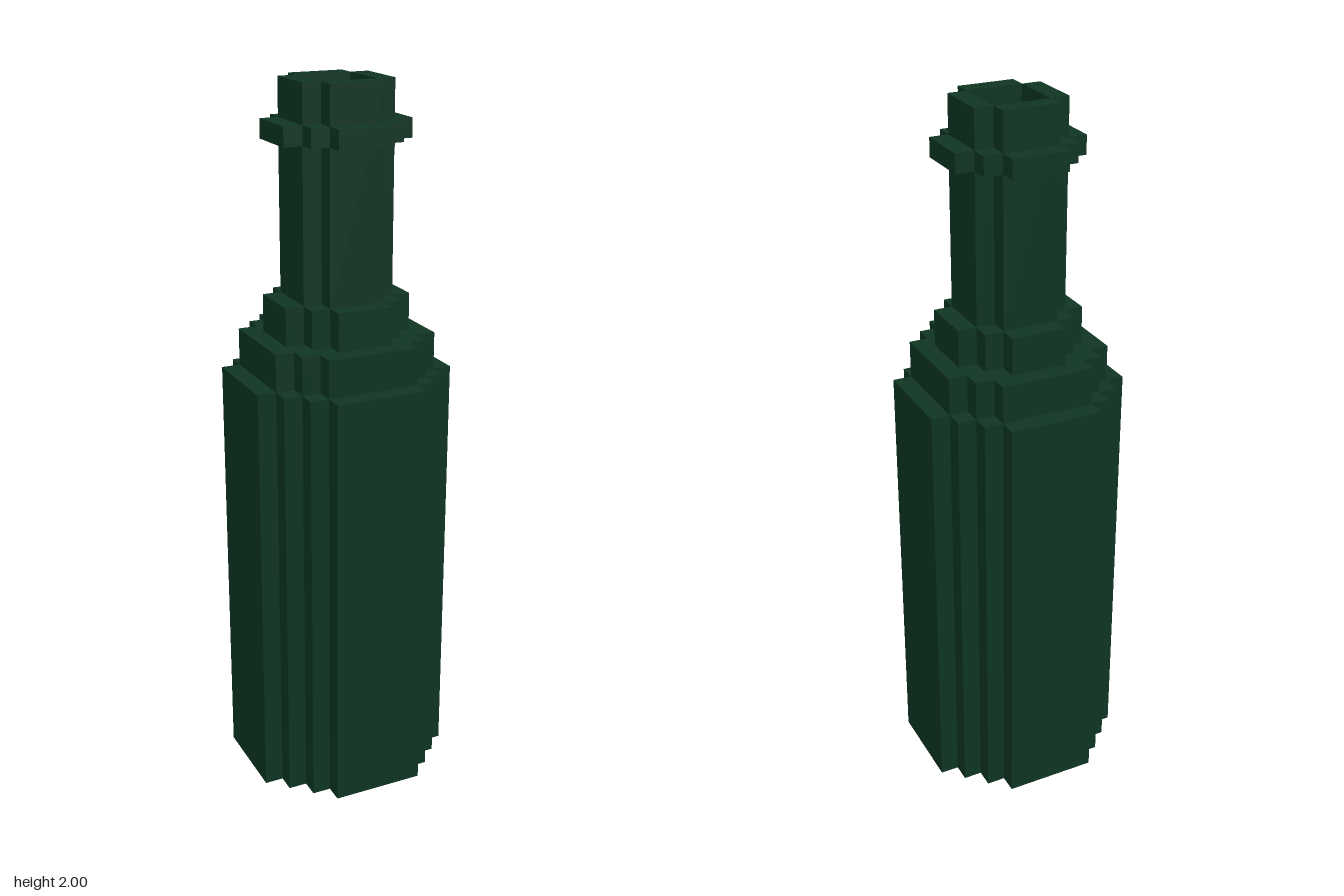
import * as THREE from 'three';

const U = 2 / 38; // one block of the stepped grid

// Stepped round outline: half width r, flat side half length f (in blocks)
function outline(r, f) {
  const quarter = [];
  for (let x = r, y = f; ; x--, y++) {
    quarter.push([x, y]);
    if (x <= f) break;
    quarter.push([x - 1, y]);
  }
  const points = [];
  for (let k = 0; k < 4; k++) {
    for (const [x, y] of quarter) {
      const p = new THREE.Vector2(x * U, y * U);
      points.push(p.rotateAround(new THREE.Vector2(), k * Math.PI / 2));
    }
  }
  return points;
}

export function createModel() {
  const group = new THREE.Group();
  const glass = new THREE.MeshStandardMaterial({ color: 0x0f3523 });
  glass.name = 'darkGreenGlass';

  // A stepped layer from y0 to y1, optionally with a stepped hole
  function layer(name, y0, y1, outer, hole) {
    const shape = new THREE.Shape(outline(...outer));
    if (hole) shape.holes.push(new THREE.Path(outline(...hole)));
    const geo = new THREE.ExtrudeGeometry(shape, { depth: (y1 - y0) * U, bevelEnabled: false });
    geo.rotateX(-Math.PI / 2).translate(0, y0 * U, 0);
    const mesh = new THREE.Mesh(geo, glass);
    mesh.name = name;
    group.add(mesh);
  }

  // Hollow body
  layer('body', 0, 23, [5.5, 2.5], [4.5, 1.5]);

  // Stepped hollow under the base
  layer('baseRim', 0, 1, [4.5, 2.5], [3.5, 1.5]);
  layer('baseStep', 1, 2, [4.5, 2.5], [2.5, 1.5]);
  layer('baseFloor', 2, 3, [4.5, 2.5]);

  // Shoulder steps
  layer('shoulder', 23, 25, [4.5, 2.5], [3.5, 1.5]);
  layer('collar', 25, 27, [3.5, 1.5], [1.5, 1.5]);

  // Open neck: four walls that meet at their corners
  const neck = new THREE.Group();
  neck.name = 'neck';
  for (let k = 0; k < 4; k++) {
    const geo = new THREE.BoxGeometry(3 * U, 11 * U, U);
    geo.translate(0, 32.5 * U, 2 * U).rotateY(k * Math.PI / 2);
    const wall = new THREE.Mesh(geo, glass);
    wall.name = 'neckWall';
    neck.add(wall);
  }
  group.add(neck);

  // Ring below the mouth
  layer('lipRing', 35, 36, [3.5, 1.5], [1.5, 1.5]);

  return group;
}
